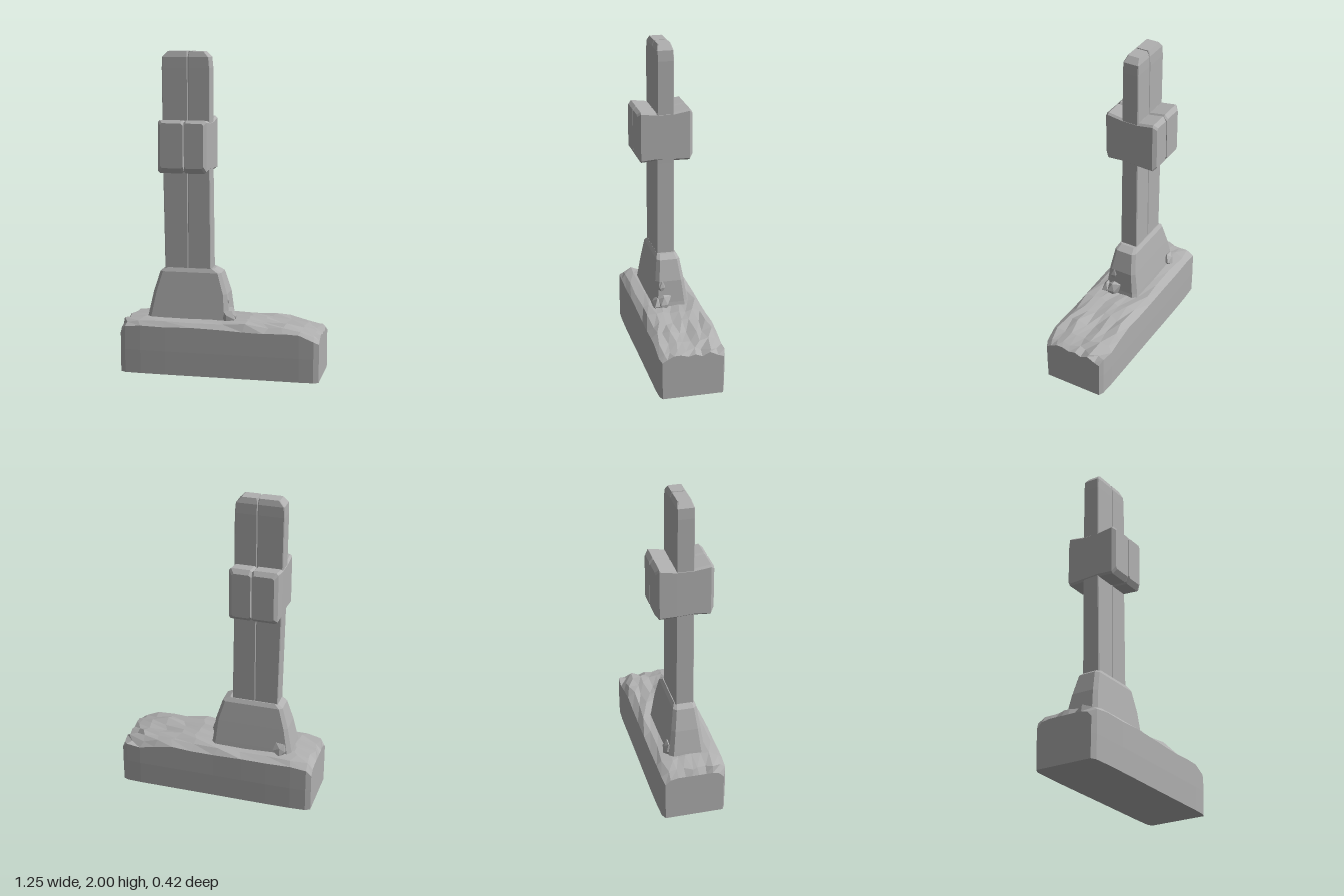
import * as THREE from 'three';

const stone = new THREE.MeshStandardMaterial({ color: 0xb0b0b0, flatShading: true });
stone.name = 'grey stone';

// Closed solid through a list of rings that each run anticlockwise around the loft axis
function loft(name, rings) {
  const pos = [];
  const tri = (...pts) => pts.forEach(p => pos.push(...p));
  const n = rings[0].length;
  const middle = ring => [0, 1, 2].map(k => ring.reduce((sum, p) => sum + p[k], 0) / n);
  const last = rings[rings.length - 1];
  const c0 = middle(rings[0]), c1 = middle(last);
  for (let i = 0; i < n; i++) {
    const j = (i + 1) % n;
    for (let k = 0; k + 1 < rings.length; k++) {
      const a = rings[k], b = rings[k + 1];
      tri(a[i], a[j], b[j]);
      tri(a[i], b[j], b[i]);
    }
    tri(c0, rings[0][j], rings[0][i]);
    tri(c1, last[i], last[j]);
  }
  const geometry = new THREE.BufferGeometry();
  geometry.setAttribute('position', new THREE.Float32BufferAttribute(pos, 3));
  geometry.computeVertexNormals();
  const mesh = new THREE.Mesh(geometry, stone);
  mesh.name = name;
  return mesh;
}

// Rectangle with clipped corners, anticlockwise in (a, b)
function clipped(a0, a1, b0, b1, c) {
  return [[a1, b0 + c], [a1, b1 - c], [a1 - c, b1], [a0 + c, b1],
    [a0, b1 - c], [a0, b0 + c], [a0 + c, b0], [a1 - c, b0]];
}
const ringY = (y, x0, x1, z0, z1, c) => clipped(z0, z1, x0, x1, c).map(([z, x]) => [x, y, z]);
const ringZ = (z, x0, x1, y0, y1, c) => clipped(x0, x1, y0, y1, c).map(([x, y]) => [x, y, z]);

function seeded(seed) {
  return () => {
    seed = (seed * 16807) % 2147483647;
    return seed / 2147483647 * 2 - 1;
  };
}

// Long base stone with a weathered, ridged top
function baseSlab() {
  const rand = seeded(77);
  // x, half depth, shoulder height, crown height, roughness
  const stations = [
    [-0.632, 0.185, 0.25, 0.29, 0], [-0.60, 0.202, 0.295, 0.33, 0.004],
    [-0.50, 0.207, 0.305, 0.345, 0.004], [-0.34, 0.209, 0.30, 0.34, 0.008],
    [-0.18, 0.209, 0.305, 0.34, 0.01], [0.0, 0.208, 0.31, 0.342, 0.01],
    [0.15, 0.208, 0.305, 0.342, 0.012], [0.28, 0.208, 0.30, 0.338, 0.014],
    [0.40, 0.208, 0.295, 0.325, 0.016], [0.50, 0.208, 0.28, 0.31, 0.016],
    [0.59, 0.204, 0.265, 0.292, 0.014], [0.622, 0.19, 0.24, 0.272, 0.012],
  ];
  const across = [-0.82, -0.55, -0.3, -0.08, 0.15, 0.4, 0.62, 0.84];
  return loft('baseSlab', stations.map(([x, d, shoulder, crown, rough], i) => {
    const end = i === 0 || i === stations.length - 1;
    const top = across.map((f, k) => [
      x + (end ? 0 : rand() * 0.025),
      crown - (k === 0 || k === 7 ? 0.01 : 0) + rand() * rough,
      d * f + (end ? 0 : rand() * 0.012),
    ]);
    return [...top, [x, shoulder + rand() * rough, d], [x, 0.15, d], [x, 0, d - 0.003],
      [x, 0, 3 - 3 - d + 0.003], [x, 0.15, -d], [x, shoulder + rand() * rough, -d]];
  }));
}

// Broken lump at the foot of the plinth
function rubble(x, y, z, sx, sy, sz, seed) {
  const geometry = new THREE.IcosahedronGeometry(1, 0);
  const p = geometry.attributes.position;
  for (let i = 0; i < p.count; i++) {
    const k = 1 + 0.22 * Math.sin(seed + p.getX(i) * 5 + p.getY(i) * 9 + p.getZ(i) * 13);
    p.setXYZ(i, p.getX(i) * sx * k, p.getY(i) * sy * k, p.getZ(i) * sz * k);
  }
  geometry.computeVertexNormals();
  const mesh = new THREE.Mesh(geometry, stone);
  mesh.name = 'rubble';
  mesh.position.set(x, y, z);
  return mesh;
}

export function createModel() {
  const model = new THREE.Group();
  model.name = 'stoneCross';
  model.add(baseSlab());

  // Tapering plinth
  model.add(loft('plinth', [
    ringY(0.28, -0.49, 0.055, -0.125, 0.118, 0.025),
    ringY(0.36, -0.475, 0.04, -0.115, 0.108, 0.025),
    ringY(0.50, -0.445, 0.025, -0.095, 0.09, 0.022),
    ringY(0.63, -0.405, -0.015, -0.075, 0.073, 0.02),
    ringY(0.655, -0.37, -0.06, -0.06, 0.06, 0.015),
  ]));
  [[0.04, 0.36, 0.045, 0.055, 0.07, 0.05], [0.015, 0.46, 0.05, 0.025, 0.05, 0.03],
    [0.03, 0.35, 0.09, 0.05, 0.05, 0.03], [-0.41, 0.36, -0.115, 0.045, 0.05, 0.03],
  ].forEach((r, i) => model.add(rubble(...r, i + 1)));

  // Cross in two halves that leave a fine seam down the middle
  const seam = -0.225, c = 0.005;
  const cross = new THREE.Group();
  cross.name = 'cross';
  for (const side of [-1, 1]) {
    const span = outer => side < 0 ? [outer, seam] : [seam, outer];
    const edge = (left, right) => span(side < 0 ? left : right);
    const inset = (left, right) => side < 0 ? [left, seam - 0.004] : [seam + 0.004, right];
    cross.add(loft('shaft', [
      ringY(0.62, ...edge(-0.372, -0.078), -0.055, 0.06, c),
      ringY(1.25, ...edge(-0.383, -0.085), -0.054, 0.056, c),
      ringY(1.90, ...edge(-0.389, -0.086), -0.054, 0.053, c),
      ringY(1.965, ...edge(-0.386, -0.092), -0.052, 0.052, c),
      ringY(2.0, ...inset(-0.355, -0.125), -0.042, 0.04, c),
    ]));
    cross.add(loft('arms', [
      ringZ(-0.176, ...inset(-0.365, -0.105), 1.285, 1.565, 0.012),
      ringZ(-0.155, ...edge(-0.386, -0.084), 1.262, 1.592, 0.012),
      ringZ(-0.055, ...edge(-0.388, -0.084), 1.264, 1.575, 0.012),
      ringZ(0.055, ...edge(-0.388, -0.084), 1.27, 1.575, 0.012),
      ringZ(0.155, ...edge(-0.388, -0.084), 1.262, 1.588, 0.012),
      ringZ(0.176, ...inset(-0.37, -0.1), 1.295, 1.57, 0.012),
    ]));
  }
  model.add(cross);
  return model;
}
